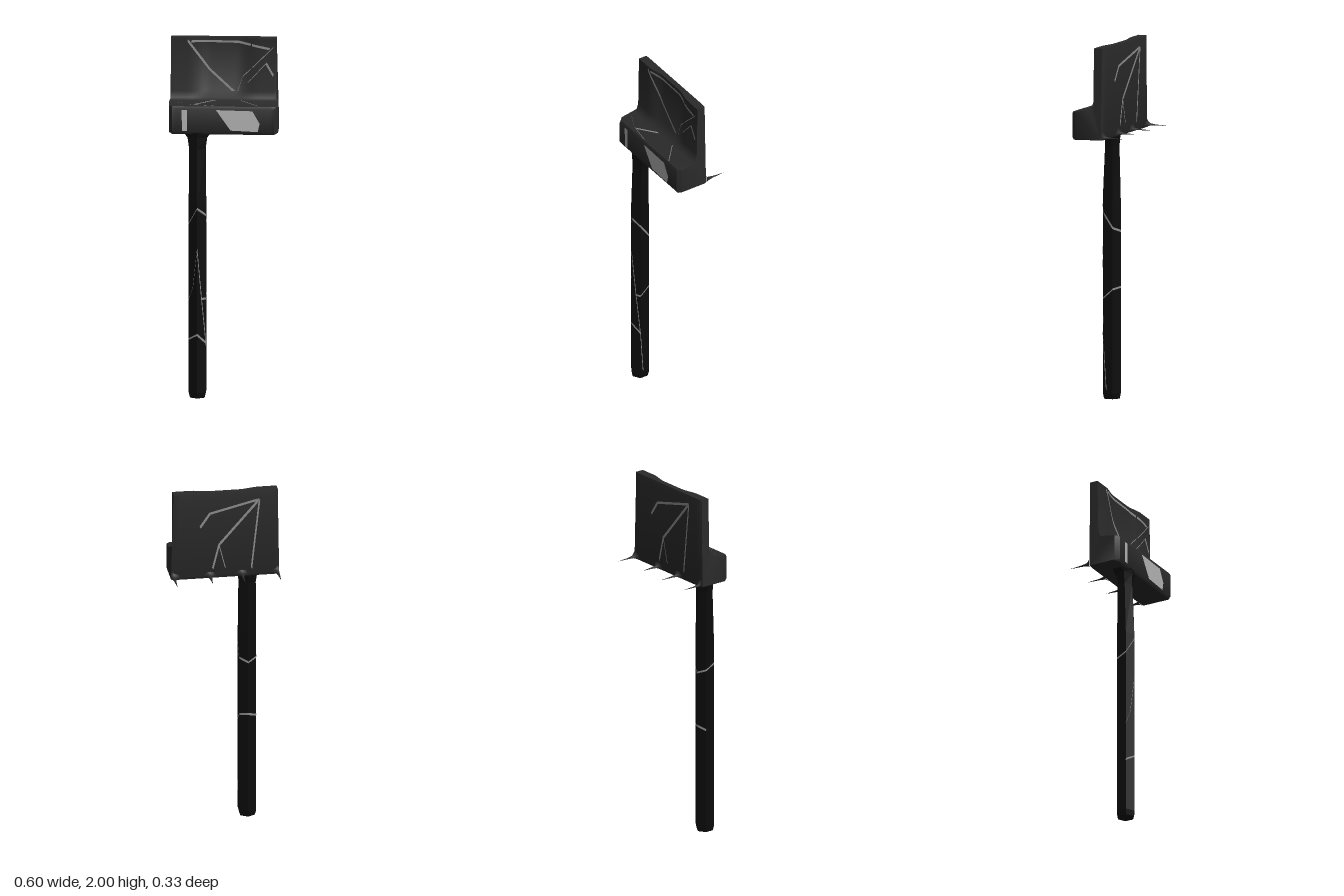
import * as THREE from 'three';
import { toCreasedNormals } from 'three/addons/utils/BufferGeometryUtils.js';

const mat = (color, opts = {}) => new THREE.MeshStandardMaterial({ color, ...opts });
const STONE = mat(0x2a2a2a);
const POST = mat(0x0c0c0c, { flatShading: true });
const VEIN = mat(0x8c8c8c, { side: THREE.DoubleSide });
const PALE = mat(0xb4b4b4, { side: THREE.DoubleSide });

// move every vertex of a geometry by a rule
function warp(geo, rule) {
  const p = geo.attributes.position, v = new THREE.Vector3();
  for (let i = 0; i < p.count; i++) {
    v.fromBufferAttribute(p, i);
    rule(v, i);
    p.setXYZ(i, v.x, v.y, v.z);
  }
  return geo;
}

function add(parent, name, geo, material) {
  const mesh = new THREE.Mesh(geo, material);
  mesh.name = name;
  parent.add(mesh);
  return mesh;
}

// depth of the shallow hollow in the middle of the panel front
const hollow = x => 0.02 * (1 - THREE.MathUtils.smoothstep(Math.abs(x), 0.08, 0.2));
const panelFront = (x, y) => 0.022 - 0.005 * (y - 1.7) / 0.3 - hollow(x);

// upright panel and front block as one L profile run across the width
function headGeometry() {
  const profile = [[-0.03, 1.49], [0.14, 1.485], [0.15, 1.5], [0.15, 1.63], [0.143, 1.643], [0.05, 1.655],
    [0.03, 1.667], [0.02, 1.7], [0.015, 2], [-0.035, 2], [-0.04, 1.96], [-0.04, 1.51]];
  const shape = new THREE.Shape(profile.map(([z, y]) => new THREE.Vector2(z, y)));
  const geo = new THREE.ExtrudeGeometry(shape, { depth: 0.6, steps: 30, bevelEnabled: false });
  geo.rotateY(-Math.PI / 2).translate(0.3, 0, 0);
  warp(geo, v => {
    if (Math.abs(v.x) > 0.295) {          // chamfered ends
      v.z = THREE.MathUtils.clamp(v.z, -0.032, 0.125);
      v.y = Math.max(v.y, 1.495);
    }
    if (v.y > 1.69 && v.z > 0) v.z -= hollow(v.x);
    if (v.y > 1.66) v.x = v.x * 0.965 - 0.003;
  });
  return toCreasedNormals(geo, 0.8);
}

// six-sided post, flared where it meets the block
const CX = -0.143, CZ = 0.108, R = 0.0545;
function postGeometry() {
  //            y     x scale  z scale  z shift
  const rows = [[1.495, 1.7, 1.1, -0.015], [1.465, 1.15, 0.85, -0.005], [1.4, 0.95, 0.8, -0.003],
    [1.1, 1, 1, 0], [0.03, 1, 1, 0], [0, 0.85, 0.88, 0]];
  const geo = new THREE.CylinderGeometry(R, R, 1, 6, rows.length - 1);
  return warp(geo, v => {
    const [y, sx, sz, dz] = rows[Math.round((0.5 - v.y) * (rows.length - 1))];
    v.set(CX + v.x * sx, y, CZ + v.z * sz + dz);
  });
}

// thin thorn growing out of the lower back edge
function spikeGeometry(x, length) {
  const profile = [[0.042, 0], [0.024, 0.008], [0.012, 0.02], [0.006, 0.05], [0, length]];
  const geo = new THREE.LatheGeometry(profile.map(p => new THREE.Vector2(...p)), 10);
  geo.rotateX(-Math.PI / 2);
  return warp(geo, v => {
    v.y = 1.505 + v.y * (v.y > 0 ? 0.8 : 0.3);
    v.x = THREE.MathUtils.clamp(v.x + x, -0.297, 0.297);
    v.z -= 0.036;
  });
}

// ribbon through 2D points, laid on a surface by place(u, v), widened by (du, dv)
function ribbonGeometry(points, place, du, dv, cuts = 8) {
  const pos = [], idx = [];
  const steps = (points.length - 1) * cuts;
  for (let i = 0; i <= steps; i++) {
    const k = Math.min(Math.floor(i / cuts), points.length - 2), t = i / cuts - k;
    const u = THREE.MathUtils.lerp(points[k][0], points[k + 1][0], t);
    const v = THREE.MathUtils.lerp(points[k][1], points[k + 1][1], t);
    pos.push(...place(u - du, v - dv), ...place(u + du, v + dv));
    if (i < steps) idx.push(2 * i, 2 * i + 1, 2 * i + 2, 2 * i + 1, 2 * i + 3, 2 * i + 2);
  }
  const geo = new THREE.BufferGeometry();
  geo.setAttribute('position', new THREE.Float32BufferAttribute(pos, 3));
  geo.setIndex(idx);
  geo.computeVertexNormals();
  return geo;
}

function patchGeometry(points, z) {
  const shape = new THREE.Shape(points.map(p => new THREE.Vector2(...p)));
  return new THREE.ShapeGeometry(shape).translate(0, 0, z);
}

export function createModel() {
  const model = new THREE.Group();
  model.name = 'monument';

  add(model, 'panelAndBlock', headGeometry(), STONE);
  add(model, 'post', postGeometry(), POST);

  const spikes = new THREE.Group();
  spikes.name = 'backSpikes';
  model.add(spikes);
  [[-0.292, 0.125], [-0.093, 0.129], [0.085, 0.114], [0.284, 0.127]]
    .forEach(([x, l]) => add(spikes, 'spike', spikeGeometry(x, l), STONE));

  const veins = new THREE.Group();
  veins.name = 'veins';
  model.add(veins);

  // veins on the panel front
  const front = (x, y) => [x, y, panelFront(x, y)];
  [[[-0.2, 1.985], [-0.08, 1.82], [0.06, 1.69]],
    [[0.27, 1.95], [0.1, 1.78], [0.07, 1.69]],
    [[0.13, 1.75], [0.23, 1.86], [0.27, 1.79]],
    [[-0.18, 1.98], [0.08, 1.975], [0.25, 1.94]]]
    .forEach(p => add(veins, 'panelFrontVein', ribbonGeometry(p, front, 0.003, 0.006), VEIN));

  // veins on the panel back
  const back = (x, y) => [x, y, -0.0415];
  [[[0.14, 1.8], [0.086, 1.88], [-0.19, 1.95], [0.035, 1.69], [0, 1.55]],
    [[-0.19, 1.95], [-0.145, 1.54]],
    [[0.035, 1.69], [0.07, 1.55]]]
    .forEach(p => add(veins, 'panelBackVein', ribbonGeometry(p, back, 0.004, 0.006), VEIN));

  // veins on the block top
  const top = (x, z) => [x, 1.657 - (z - 0.05) * 0.13 + 0.001, z];
  [[[-0.05, 0.05], [-0.16, 0.12]], [[0.09, 0.05], [0.19, 0.14]], [[-0.29, 0.07], [-0.18, 0.12], [-0.05, 0.14]]]
    .forEach(p => add(veins, 'blockTopVein', ribbonGeometry(p, top, 0.005, 0.002), VEIN));

  // pale patches on the block front
  add(veins, 'blockPatch', patchGeometry(
    [[-0.04, 1.625], [0.04, 1.51], [0.19, 1.503], [0.2, 1.55], [0.16, 1.62]], 0.1515), PALE);
  add(veins, 'blockStripe', patchGeometry(
    [[-0.23, 1.625], [-0.225, 1.505], [-0.2, 1.505], [-0.2, 1.625]], 0.1515), PALE);

  // veins on the post: u counts its six corners from the front ridge
  const onPost = (u, y) => {
    const corner = k => [Math.sin(k * Math.PI / 3), Math.cos(k * Math.PI / 3)];
    const k = Math.floor(u), a = corner(k), b = corner(k + 1), r = R + 0.0012;
    return [CX + r * THREE.MathUtils.lerp(a[0], b[0], u - k), y, CZ + r * THREE.MathUtils.lerp(a[1], b[1], u - k)];
  };
  [[[-2, 0.95], [-1, 0.98], [0, 1.07], [1, 1.03], [2, 0.95], [3, 0.93], [4, 0.95]],
    [[0, 0.84], [0.5, 0.56], [1, 0.3], [1.3, 0.05]],
    [[0, 0.84], [-0.5, 0.62], [-1, 0.55]],
    [[0.5, 0.56], [1, 0.56], [2, 0.61], [3, 0.62], [4, 0.6]],
    [[-1, 0.33], [0, 0.36], [1, 0.31]]]
    .forEach(p => add(veins, 'postVein', ribbonGeometry(p, onPost, 0.03, 0.006, 4), VEIN));

  return model;
}
